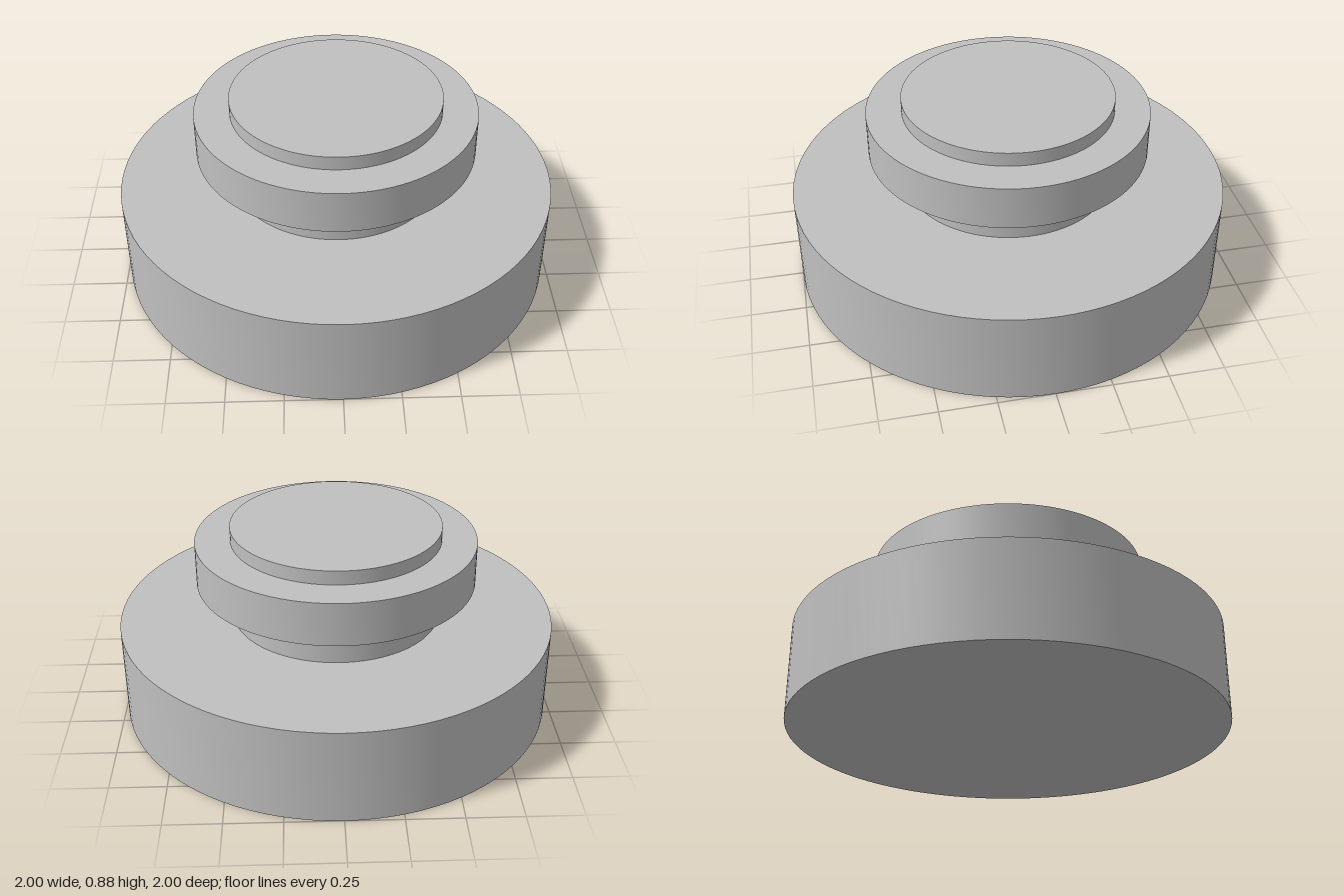
import * as THREE from 'three';
import { toCreasedNormals } from 'three/addons/utils/BufferGeometryUtils.js';

const SEGMENTS = 96;
const BASE_R = 1, NECK_R = 0.48, COLLAR_R = 0.64;
const BASE_TOP = 0.44, COLLAR_BOTTOM = 0.62, COLLAR_TOP = 0.82, CAP_TOP = 0.885;

export function createModel() {
  const group = new THREE.Group();
  group.name = 'steppedKnob';
  const grey = new THREE.MeshStandardMaterial({ color: 0xc0c0c0 });
  grey.name = 'grey';

  // Turned part from a [radius, height] profile, with sharp rims
  function turned(name, profile) {
    const points = profile.map(([r, y]) => new THREE.Vector2(r, y));
    const geometry = toCreasedNormals(new THREE.LatheGeometry(points, SEGMENTS), Math.PI / 6);
    const mesh = new THREE.Mesh(geometry, grey);
    mesh.name = name;
    group.add(mesh);
  }

  // Wide disc base with its exposed top ring
  turned('base', [[0, 0], [BASE_R, 0], [BASE_R, BASE_TOP], [NECK_R, BASE_TOP]]);
  // Narrow neck
  turned('neck', [[NECK_R, BASE_TOP], [NECK_R, COLLAR_BOTTOM]]);
  // Overhanging collar
  turned('collar', [
    [NECK_R, COLLAR_BOTTOM], [COLLAR_R, COLLAR_BOTTOM],
    [COLLAR_R, COLLAR_TOP], [NECK_R, COLLAR_TOP],
  ]);
  // Low raised cap
  turned('cap', [[NECK_R, COLLAR_TOP], [NECK_R, CAP_TOP], [0, CAP_TOP]]);

  return group;
}
